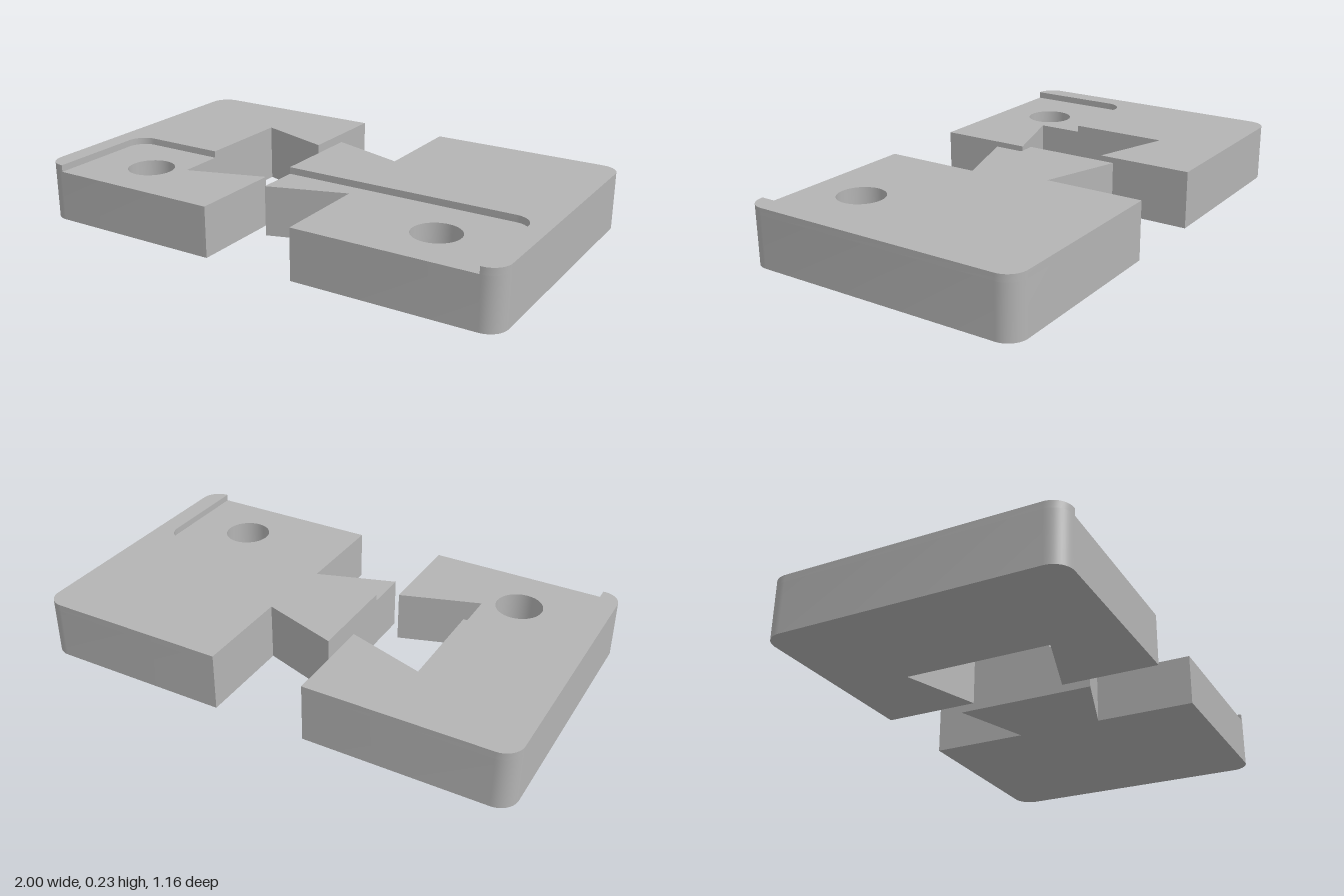
import * as THREE from 'three';
import { mergeGeometries, toCreasedNormals } from 'three/addons/utils/BufferGeometryUtils.js';

const HEIGHT = 0.235, STEP = 0.207, HOLE_FLOOR = 0.05;
const HALF = 0.582, INNER = 0.19, RADIUS = 0.075;
const POCKET_X = 0.92, POCKET_Y = -0.11;

// Points of an arc; plan coordinates are (x, -z)
function arc(cx, cy, r, a0, a1, n) {
  return Array.from({ length: n + 1 }, (_, i) => {
    const a = a0 + (a1 - a0) * i / n;
    return new THREE.Vector2(cx + r * Math.cos(a), cy + r * Math.sin(a));
  });
}

// Vertical wall around a closed loop, facing outwards (or inwards for a hole)
function wall(loop, y0, y1, inward = false) {
  const pts = THREE.ShapeUtils.isClockWise(loop) === inward ? loop : [...loop].reverse();
  const pos = [];
  pts.forEach((a, i) => {
    const b = pts[(i + 1) % pts.length];
    pos.push(a.x, y0, -a.y, b.x, y0, -b.y, b.x, y1, -b.y);
    pos.push(a.x, y0, -a.y, b.x, y1, -b.y, a.x, y1, -a.y);
  });
  const g = new THREE.BufferGeometry();
  g.setAttribute('position', new THREE.Float32BufferAttribute(pos, 3));
  return toCreasedNormals(g, 0.45);
}

// Flat face filling a loop at height y
function cap(loop, y, { hole, down = false } = {}) {
  const shape = new THREE.Shape(loop);
  if (hole) shape.holes.push(new THREE.Path(hole));
  let g = new THREE.ShapeGeometry(shape).toNonIndexed();
  g.deleteAttribute('uv');
  if (down) {
    const p = g.attributes.position;
    for (let i = 0; i < p.count; i += 3) {
      const x = p.getX(i), v = p.getY(i);
      p.setXY(i, p.getX(i + 1), p.getY(i + 1));
      p.setXY(i + 1, x, v);
    }
    g.computeVertexNormals();
  }
  return g.rotateX(-Math.PI / 2).translate(0, y, 0);
}

// One plate: side is +1 or -1; neck, tipX and tip describe the dovetail
function plate(name, side, neck, tipX, tip, material) {
  const v = (x, y) => new THREE.Vector2(x, y);
  const place = pts => pts.map(p => v(p.x * side, p.y));
  const q = Math.PI / 2;
  const corners = [
    ...arc(1 - RADIUS, -HALF + RADIUS, RADIUS, -q, 0, 10),
    ...arc(1 - RADIUS, HALF - RADIUS, RADIUS, 0, q, 10),
  ];
  const backJoint = [v(INNER, HALF), v(INNER, neck), v(tipX, tip)];
  const frontJoint = [v(tipX, -tip), v(INNER, -neck)];
  const fillet = arc(POCKET_X - RADIUS, POCKET_Y - RADIUS, RADIUS, q, 0, 10);

  const outline = place([v(INNER, -HALF), ...corners, ...backJoint, ...frontJoint]);
  const raised = place([v(POCKET_X, -HALF), ...corners, ...backJoint, v(tipX, POCKET_Y), ...fillet]);
  const pocket = place([v(INNER, -HALF), v(POCKET_X, -HALF), ...[...fillet].reverse(),
    v(tipX, POCKET_Y), ...frontJoint]);
  const hole = place(arc(0.65, -0.35, 0.095, 0, Math.PI * 2, 48).slice(0, -1));

  const group = new THREE.Group();
  group.name = name;
  const add = (partName, ...parts) => {
    const mesh = new THREE.Mesh(mergeGeometries(parts), material);
    mesh.name = partName;
    group.add(mesh);
  };
  // Full-outline body with the recessed floor on top
  add('body', wall(outline, 0, STEP), cap(outline, 0, { down: true }), cap(pocket, STEP, { hole }));
  // Raised area behind and beside the pocket
  add('raisedTop', wall(raised, STEP, HEIGHT), cap(raised, HEIGHT));
  // Blind round hole in the pocket floor
  add('blindHole', wall(hole, HOLE_FLOOR, STEP, true), cap(hole, HOLE_FLOOR));
  return group;
}

export function createModel() {
  const grey = new THREE.MeshStandardMaterial({ color: 0xb4b4b4 });
  grey.name = 'plain grey';
  const model = new THREE.Group();
  model.name = 'dovetailPlates';
  model.add(plate('tonguePlate', 1, 0.178, -0.13, 0.283, grey));
  model.add(plate('socketPlate', -1, 0.193, 0.51, 0.297, grey));
  return model;
}
